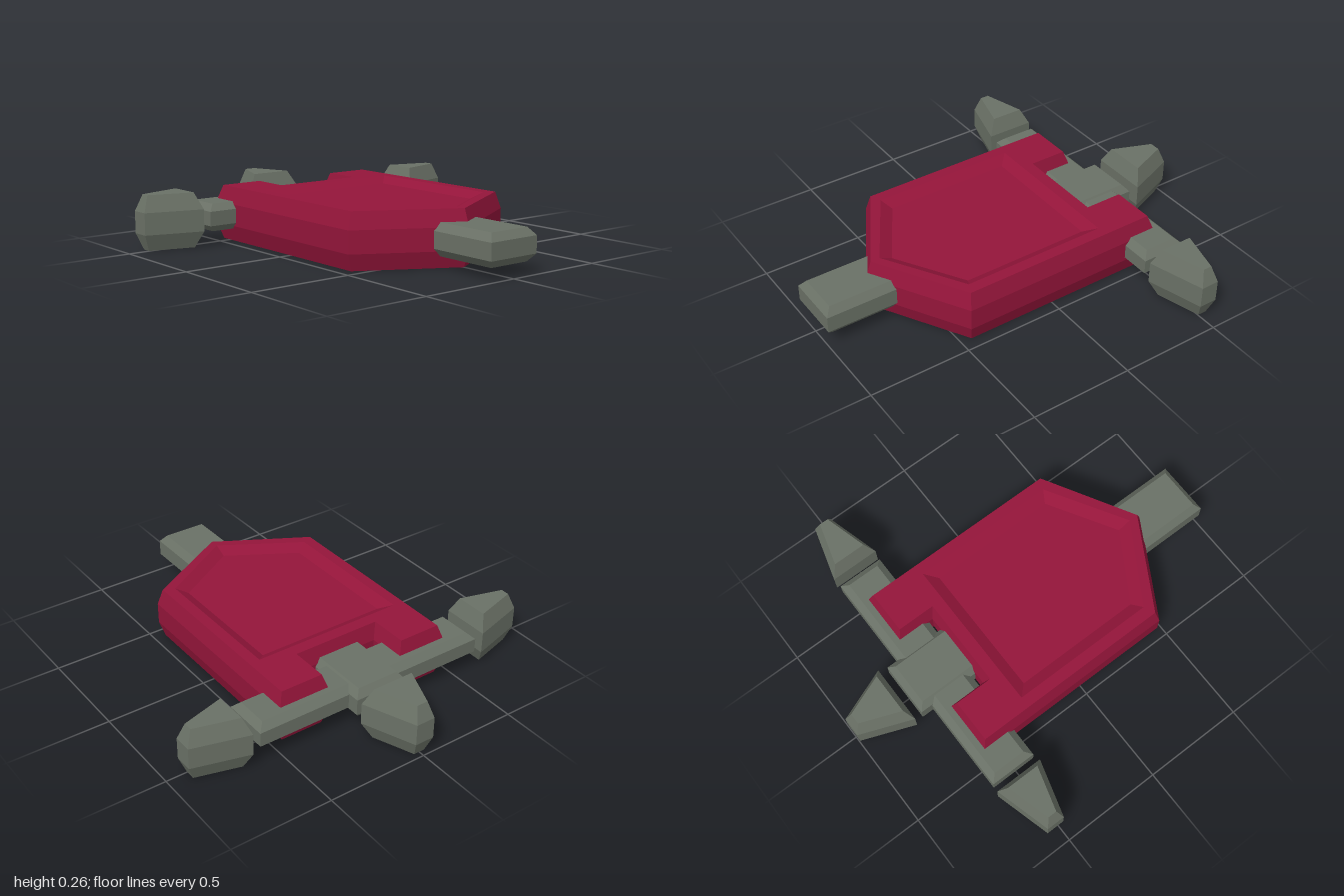
import * as THREE from 'three';

const MID = 0.1325; // height of the plane every part is symmetric about
const steel = new THREE.MeshStandardMaterial({ color: 0x6a7166, flatShading: true });
const cloth = new THREE.MeshStandardMaterial({ color: 0x94153a, flatShading: true });

// Shrinks a counter-clockwise outline by a distance, with mitred corners
function inset(pts, t) {
  const normal = (a, b) => new THREE.Vector2(a.y - b.y, b.x - a.x).normalize();
  return pts.map((p, i) => {
    const n1 = normal(pts[(i + pts.length - 1) % pts.length], p);
    const n2 = normal(p, pts[(i + 1) % pts.length]);
    return p.clone().addScaledVector(n1.clone().add(n2), t / (1 + n1.dot(n2)));
  });
}

// Joins rings of equal point count; each ring is { pts, h }
function loft(out, rings) {
  for (let r = 0; r + 1 < rings.length; r++) {
    const a = rings[r], b = rings[r + 1], n = a.pts.length;
    for (let i = 0; i < n; i++) {
      const j = (i + 1) % n;
      const v = (ring, k) => [ring.pts[k].x, ring.pts[k].y, ring.h];
      out.push(...v(a, i), ...v(a, j), ...v(b, j), ...v(a, i), ...v(b, j), ...v(b, i));
    }
  }
}

// Flat face at height h, optionally with a hole, facing up or down
function cap(out, pts, h, up, hole) {
  const shape = new THREE.Shape(pts);
  if (hole) shape.holes.push(new THREE.Path(hole));
  const geo = new THREE.ShapeGeometry(shape);
  const pos = geo.attributes.position, idx = geo.index.array;
  for (let i = 0; i < idx.length; i += 3) {
    const tri = up ? [idx[i], idx[i + 1], idx[i + 2]] : [idx[i], idx[i + 2], idx[i + 1]];
    for (const k of tri) out.push(pos.getX(k), pos.getY(k), h);
  }
}

// Slab with bevelled rims; outline is [x, -z] points, counter-clockwise.
// half = half thickness, wall = half height of the upright side band,
// recess = optional panel sunk into both faces
function slab(name, material, outline, half, wall, bevel, recess) {
  const out = [];
  const pts = outline.map(([x, y]) => new THREE.Vector2(x, y));
  const rim = inset(pts, bevel);
  loft(out, [
    { pts: rim, h: -half }, { pts, h: -wall }, { pts, h: wall }, { pts: rim, h: half },
  ]);
  if (recess) {
    const edge = recess.outline.map(([x, y]) => new THREE.Vector2(x, y));
    const floor = inset(edge, recess.slope);
    const f = half - recess.depth;
    cap(out, rim, half, true, edge);
    cap(out, rim, -half, false, edge);
    loft(out, [{ pts: edge, h: half }, { pts: floor, h: f }]);
    loft(out, [{ pts: floor, h: -f }, { pts: edge, h: -half }]);
    cap(out, floor, f, true);
    cap(out, floor, -f, false);
  } else {
    cap(out, rim, half, true);
    cap(out, rim, -half, false);
  }
  const geo = new THREE.BufferGeometry();
  geo.setAttribute('position', new THREE.Float32BufferAttribute(out, 3));
  geo.rotateX(-Math.PI / 2);
  geo.translate(0, MID, 0);
  geo.computeVertexNormals();
  const mesh = new THREE.Mesh(geo, material);
  mesh.name = name;
  return mesh;
}

const rect = (x0, x1, z0, z1) => [[x0, -z1], [x1, -z1], [x1, -z0], [x0, -z0]];

export function createModel() {
  const group = new THREE.Group();
  group.name = 'hangingBanner';

  // Pointed banner with two hanging tabs and a sunken panel on each face
  group.add(slab('banner', cloth, [
    [-0.465, -0.46], [0, -0.725], [0.465, -0.46], [0.465, 0.58], [0.2, 0.58],
    [0.2, 0.39], [-0.2, 0.39], [-0.2, 0.58], [-0.465, 0.58],
  ], MID, 0.053, 0.025, {
    outline: [[-0.385, -0.42], [0, -0.65], [0.385, -0.42], [0.385, 0.305], [-0.385, 0.305]],
    slope: 0.055, depth: 0.03,
  }));

  // Pole and crossbar
  group.add(slab('pole', steel, rect(-0.137, 0.137, -0.7, 1), 0.076, 0.04, 0.03));
  group.add(slab('crossbar', steel, rect(-0.61, 0.61, -0.64, -0.41), 0.067, 0.035, 0.033));

  // Tapered finial at the head of the pole
  group.add(slab('topFinial', steel,
    [[-0.148, 0.743], [0.148, 0.743], [0.048, 1], [-0.048, 1]], MID, 0.053, 0.03));

  // Tapered finials beyond the ends of the crossbar
  const z = -0.525;
  for (const [side, name] of [[1, 'leftFinial'], [-1, 'rightFinial']]) {
    const pts = [[0.65, -z - 0.122], [0.925, -z - 0.045], [0.925, -z + 0.045], [0.65, -z + 0.122]]
      .map(([x, y]) => [x * side, y]);
    if (side < 0) pts.reverse();
    group.add(slab(name, steel, pts, MID, 0.053, 0.03));
  }
  return group;
}
